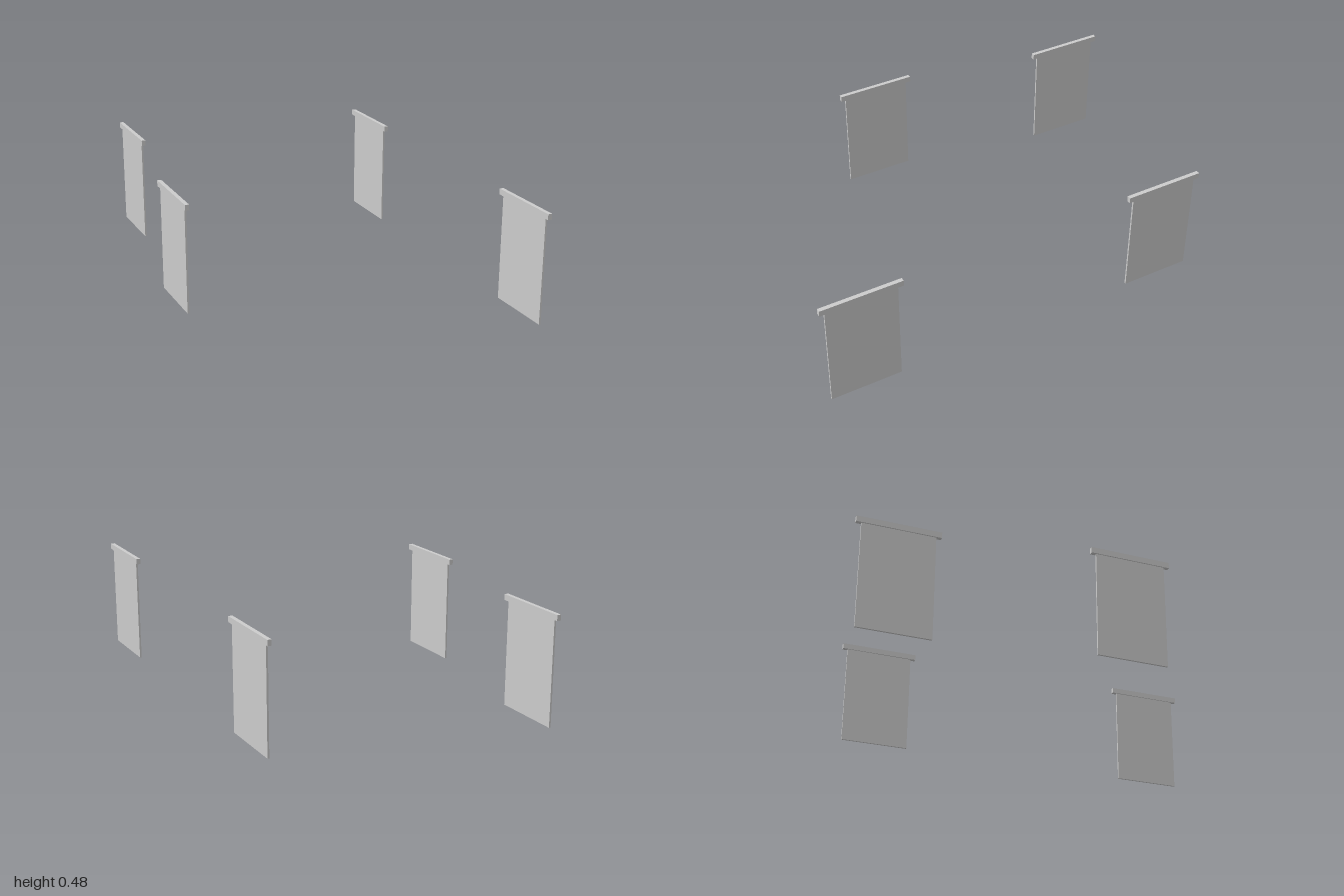
import * as THREE from 'three';

const grey = new THREE.MeshStandardMaterial({ color: 0xcccccc });
grey.name = 'grey';

// Box standing on the given base height
function box(name, w, h, d, baseY) {
  const mesh = new THREE.Mesh(new THREE.BoxGeometry(w, h, d), grey);
  mesh.name = name;
  mesh.position.y = baseY + h / 2;
  return mesh;
}

// Hanging cloth panel under a wider square rail
function createBanner() {
  const banner = new THREE.Group();
  banner.add(box('panel', 0.008, 0.46, 0.31, 0));
  banner.add(box('rail', 0.018, 0.025, 0.355, 0.458));
  return banner;
}

export function createModel() {
  const model = new THREE.Group();
  model.name = 'banners';

  // Centre of each banner: [name, x, z]
  const places = [
    ['backRightBanner', -0.516, -0.823],
    ['backLeftBanner', 0.633, -0.58],
    ['middleRightBanner', -0.639, 0.137],
    ['frontLeftBanner', 0.627, 0.823],
  ];
  for (const [name, x, z] of places) {
    const banner = createBanner();
    banner.name = name;
    banner.position.set(x, 0, z);
    model.add(banner);
  }
  return model;
}
